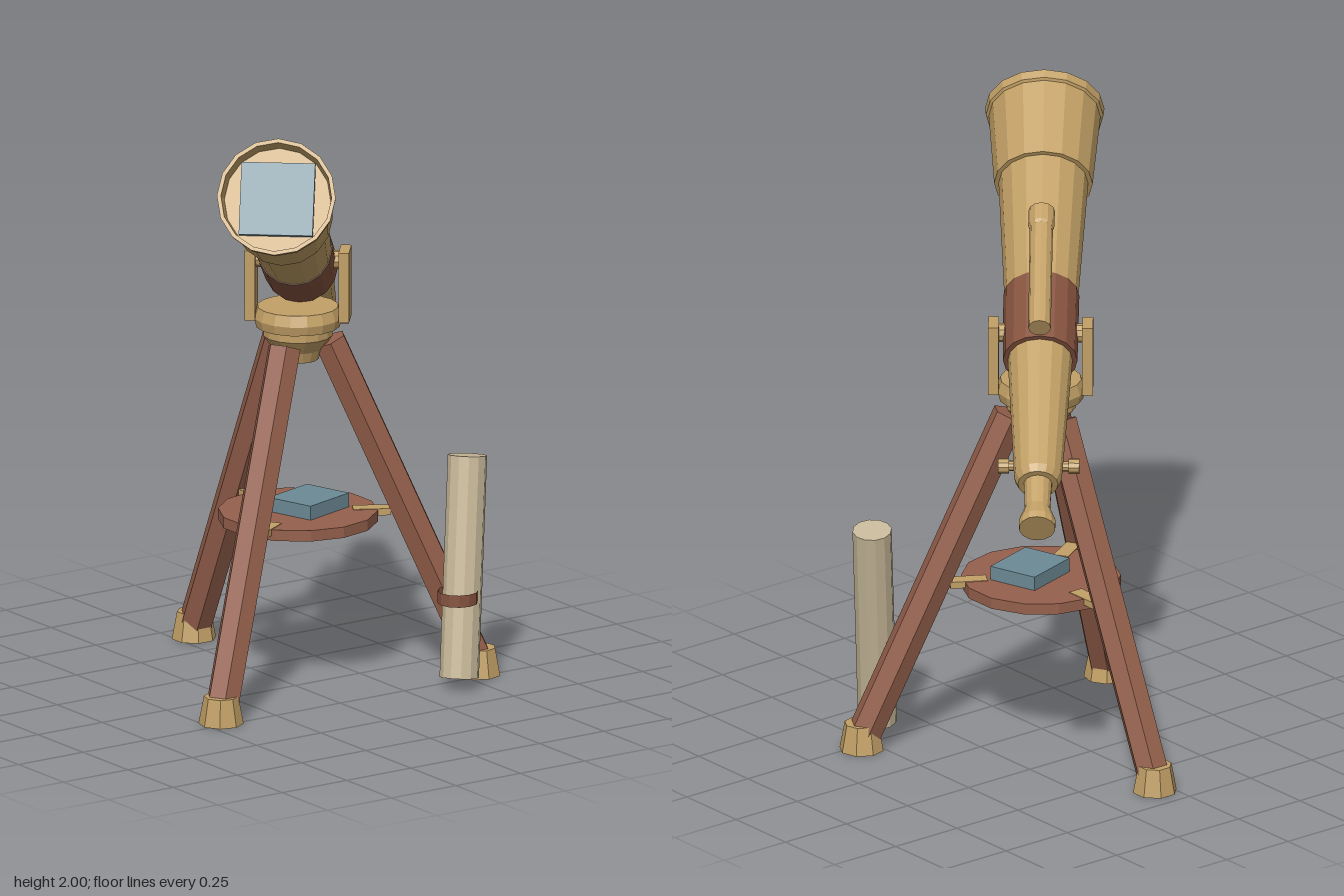
import * as THREE from 'three';

const paint = (name, color) => {
  const m = new THREE.MeshStandardMaterial({ color, flatShading: true });
  m.name = name;
  return m;
};

export function createModel() {
  const brass = paint('brass', 0xc2a066);
  const wood = paint('wood', 0x95604c);
  const leather = paint('leather', 0x875440);
  const parchment = paint('parchment', 0xc8b99a);
  const slate = paint('slate blue', 0x6c8a95);
  leather.side = THREE.DoubleSide;

  const root = new THREE.Group();
  root.name = 'telescopeOnTripod';

  const add = (parent, name, geo, mat, x = 0, y = 0, z = 0) => {
    const m = new THREE.Mesh(geo, mat);
    m.name = name;
    m.position.set(x, y, z);
    parent.add(m);
    return m;
  };
  // Lathe from [radius, height] pairs, bottom to top
  const lathe = (pts, seg = 16) =>
    new THREE.LatheGeometry(pts.map(p => new THREE.Vector2(p[0], p[1])), seg);
  // The same, lying along local z
  const barrel = (pts, seg) => lathe(pts, seg).rotateX(Math.PI / 2);
  // Cylinder between two points
  const rod = (parent, name, a, b, ra, rb, seg, mat) => {
    const dir = b.clone().sub(a);
    const m = add(parent, name, new THREE.CylinderGeometry(rb, ra, dir.length(), seg), mat);
    m.position.copy(a).add(b).multiplyScalar(0.5);
    m.quaternion.setFromUnitVectors(new THREE.Vector3(0, 1, 0), dir.normalize());
    return m;
  };
  const V = (x, y, z) => new THREE.Vector3(x, y, z);

  // ---- Tripod, centred on its own axis ----
  const tripod = new THREE.Group();
  tripod.name = 'tripod';
  tripod.position.set(0.055, 0, -0.064);
  root.add(tripod);

  add(tripod, 'mountHead', lathe([
    [0, 1.06], [0.066, 1.06], [0.078, 1.095], [0.112, 1.14], [0.112, 1.165],
    [0.135, 1.17], [0.142, 1.2], [0.13, 1.235], [0, 1.235]]), brass);

  for (let i = 0; i < 3; i++) {
    const leg = new THREE.Group();
    leg.name = 'leg' + (i + 1);
    leg.rotation.y = Math.PI + i * Math.PI * 2 / 3;
    tripod.add(leg);
    const shaft = rod(leg, 'legShaft', V(0, 1.12, 0.1), V(0, 0.05, 0.57), 0.056, 0.056, 6, wood);
    shaft.geometry.rotateY(Math.PI / 2);
    add(leg, 'foot', new THREE.CylinderGeometry(0.055, 0.072, 0.09, 8).rotateY(Math.PI / 8),
      brass, 0, 0.045, 0.578);
    add(leg, 'trayBracket', new THREE.BoxGeometry(0.05, 0.022, 0.12), brass, 0, 0.551, 0.235);
  }

  add(tripod, 'tray', new THREE.CylinderGeometry(0.255, 0.255, 0.036, 14), wood, 0, 0.542, 0);
  const book = add(tripod, 'book', new THREE.BoxGeometry(0.2, 0.046, 0.17), slate, 0.03, 0.583, 0.018);
  book.rotation.y = 0.3;

  // ---- Chart tube strapped to the front left leg ----
  rod(root, 'chartTube', V(0.412, 0.035, 0.322), V(0.507, 0.735, 0.232), 0.063, 0.063, 12, parchment);
  add(root, 'chartStrap', new THREE.CylinderGeometry(0.065, 0.065, 0.04, 12, 1, true),
    leather, 0.415, 0.3, 0.31);

  // ---- Yoke, turned with the telescope ----
  const heading = -0.694;
  const yoke = new THREE.Group();
  yoke.name = 'yoke';
  yoke.position.set(0.055, 1.39, -0.063);
  yoke.rotation.y = heading;
  root.add(yoke);
  for (const side of [-1, 1]) {
    add(yoke, side > 0 ? 'leftArm' : 'rightArm', new THREE.BoxGeometry(0.034, 0.23, 0.102),
      brass, side * 0.15, -0.08, 0);
    add(yoke, 'pivot', new THREE.CylinderGeometry(0.03, 0.03, 0.05, 10).rotateZ(Math.PI / 2),
      brass, side * 0.125, 0, 0);
  }

  // ---- Telescope: local z runs to the front lens, local y is up ----
  const scope = new THREE.Group();
  scope.name = 'telescope';
  scope.position.copy(yoke.position);
  scope.rotation.set(-0.486, heading, 0, 'YXZ');
  root.add(scope);

  add(scope, 'eyepiece', barrel([
    [0, -0.82], [0.058, -0.82], [0.06, -0.795], [0.041, -0.74], [0.046, -0.62], [0, -0.62]], 14), brass);
  add(scope, 'rearTube', barrel([
    [0, -0.635], [0.064, -0.635], [0.076, -0.61], [0.104, -0.1], [0, -0.1]]), brass);
  add(scope, 'collar', barrel([
    [0, -0.115], [0.119, -0.115], [0.121, 0.155], [0, 0.155]]), leather);
  add(scope, 'mainTube', barrel([
    [0, 0.15], [0.118, 0.15], [0.143, 0.63], [0, 0.63]]), brass);
  // Hollow hood with a rim and a recess for the lens
  add(scope, 'hood', barrel([
    [0, 0.625], [0.157, 0.625], [0.178, 0.905], [0.187, 0.91], [0.19, 0.94],
    [0.177, 0.94], [0.17, 0.885], [0, 0.885]]), brass);
  add(scope, 'lens', new THREE.BoxGeometry(0.236, 0.236, 0.02), slate, 0, 0, 0.9);

  // Finder scope on two posts
  add(scope, 'finderScope', barrel([
    [0, -0.155], [0.036, -0.155], [0.037, 0.26], [0.042, 0.27], [0.042, 0.335], [0, 0.335]], 12),
    brass, 0, 0.205, 0);
  for (const z of [-0.035, 0.245]) {
    add(scope, 'finderPost', new THREE.CylinderGeometry(0.017, 0.017, 0.1, 8), brass, 0, 0.145, z);
  }

  // Focus spindle with a knob at each end
  const across = (r, len) => new THREE.CylinderGeometry(r, r, len, 10).rotateZ(Math.PI / 2);
  add(scope, 'focusSpindle', across(0.017, 0.22), brass, 0, -0.078, -0.492);
  for (const side of [-1, 1]) {
    add(scope, 'focusKnob', across(0.025, 0.035), brass, side * 0.112, -0.078, -0.492);
  }

  return root;
}
